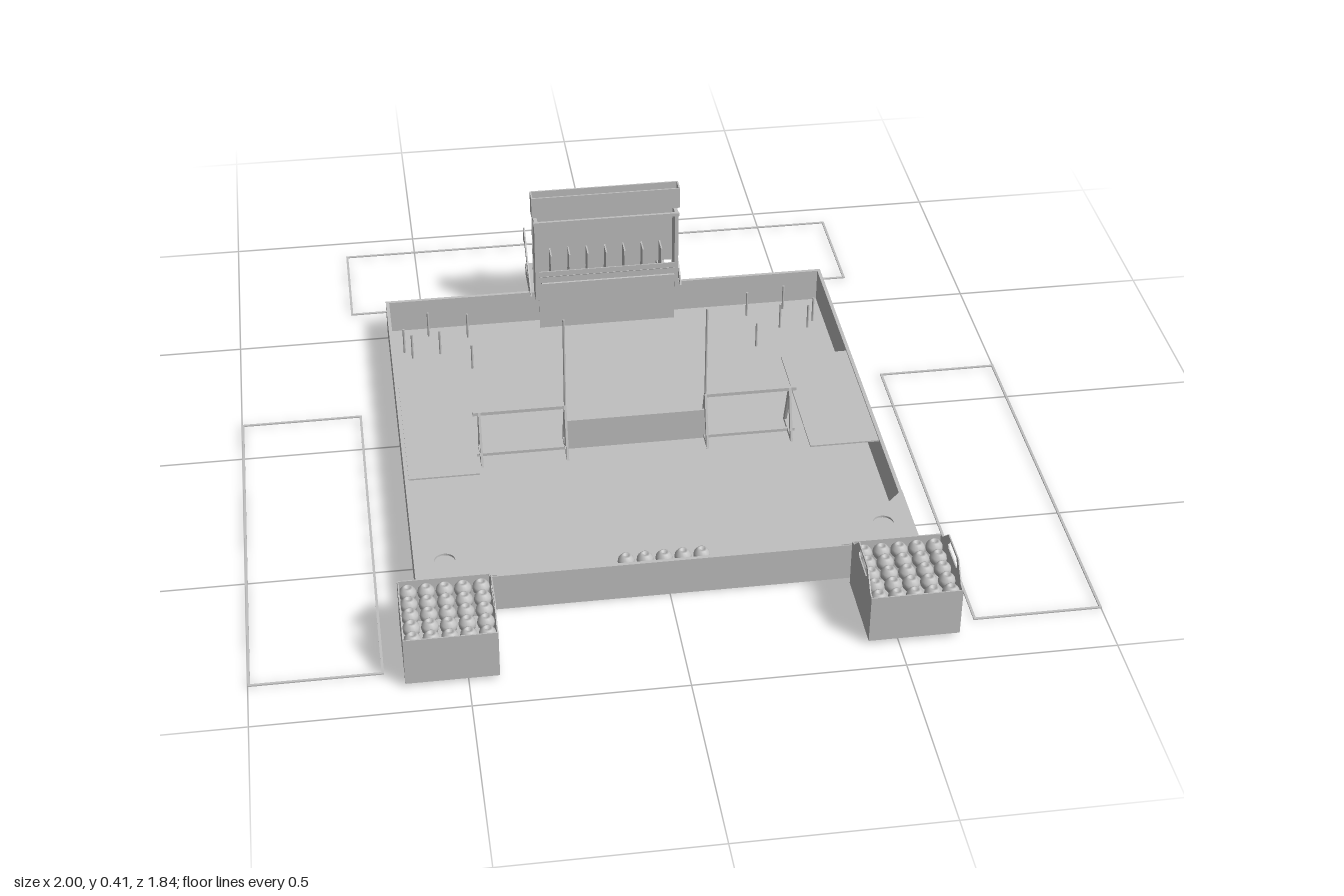
import * as THREE from 'three';

const grey = new THREE.MeshStandardMaterial({ color: 0xc0c0c0, side: THREE.DoubleSide });
grey.name = 'light grey';

function add(parent, name, geo, x = 0, y = 0, z = 0) {
  const m = new THREE.Mesh(geo, grey);
  m.name = name;
  m.position.set(x, y, z);
  parent.add(m);
  return m;
}
// Box given by its minimum and maximum corners
function box(parent, name, x0, x1, y0, y1, z0, z1) {
  return add(parent, name, new THREE.BoxGeometry(x1 - x0, y1 - y0, z1 - z0),
    (x0 + x1) / 2, (y0 + y1) / 2, (z0 + z1) / 2);
}
function group(parent, name) {
  const g = new THREE.Group();
  g.name = name;
  parent.add(g);
  return g;
}
const poly = pts => pts.map(p => new THREE.Vector2(p[0], p[1]));
// Upright plate drawn in (z, y), thickness t, centred on x
function sidePlate(parent, name, pts, x, t, hole) {
  const s = new THREE.Shape(poly(pts.map(p => [-p[0], p[1]])));
  if (hole) s.holes.push(new THREE.Path(poly(hole.map(p => [-p[0], p[1]]))));
  const g = new THREE.ExtrudeGeometry(s, { depth: t, bevelEnabled: false });
  g.translate(0, 0, -t / 2);
  g.rotateY(Math.PI / 2);
  return add(parent, name, g, x, 0, 0);
}
// Flat rectangular outline on the ground plane
function outline(parent, name, x0, x1, z0, z1, y0, y1, w) {
  const g = group(parent, name);
  for (const [a, b] of [[z0, z0 + w], [z1 - w, z1]]) box(g, 'crossStrip', x0, x1, y0, y1, a, b);
  for (const [a, b] of [[x0, x0 + w], [x1 - w, x1]]) box(g, 'sideStrip', a, b, y0, y1, z0 + w, z1 - w);
  return g;
}

// Ball with a dimpled crown
const ballGeo = new THREE.LatheGeometry(poly([
  [0, -0.02], [0.012, -0.017], [0.019, -0.008], [0.0205, 0], [0.019, 0.008],
  [0.012, 0.017], [0.007, 0.019], [0.006, 0.013], [0, 0.013]]), 16);

export function createModel() {
  const root = new THREE.Group();
  root.name = 'playingField';

  // Floor and perimeter walls
  box(root, 'floor', -0.6, 0.6, 0, 0.01, -0.52, 0.675);
  outline(root, 'perimeterWall', -0.6, 0.6, -0.525, 0.677, 0.005, 0.102, 0.009);

  // Ground tape zones
  outline(root, 'backZone', -0.695, 0.695, -0.92, -0.617, 0.004, 0.007, 0.006);
  for (const s of [-1, 1]) {
    const [a, b] = s > 0 ? [0.69, 1] : [-1, -0.69];
    outline(root, 'sideZone', a, b, -0.14, 0.872, 0.004, 0.007, 0.006);
  }

  for (const s of [-1, 1]) {
    // Side shelf level with the wall top
    box(root, 'sideShelf', s > 0 ? 0.415 : -0.59, s > 0 ? 0.59 : -0.415, 0.097, 0.101, -0.125, 0.275);

    // Corner plate with a round hole
    const tri = new THREE.Shape(poly([[s * 0.6, -0.675], [s * 0.6, -0.487], [s * 0.41, -0.675]]));
    const hole = new THREE.Path();
    hole.absarc(s * 0.527, -0.605, 0.025, 0, Math.PI * 2);
    tri.holes.push(hole);
    const corner = new THREE.ExtrudeGeometry(tri, { depth: 0.005, bevelEnabled: false, curveSegments: 16 });
    corner.rotateX(-Math.PI / 2);
    add(root, 'cornerPlate', corner, 0, 0.1, 0);

    // Pegs in the back corners
    for (const [x, z] of [[0.56, -0.41], [0.49, -0.48], [0.465, -0.39], [0.385, -0.46], [0.385, -0.31], [0.54, -0.38]])
      add(root, 'peg', new THREE.CylinderGeometry(0.003, 0.003, 0.075, 8), s * x, 0.047, z);

    // Hurdle: two A-frames with a top bar and a floor bar
    const hurdle = group(root, 'hurdle');
    for (const x of [0.18, 0.398])
      sidePlate(hurdle, 'aFrame', [[0.028, 0.01], [0.132, 0.01], [0.085, 0.147], [0.075, 0.147]], s * x, 0.006,
        [[0.045, 0.02], [0.115, 0.02], [0.08, 0.115]]);
    const [h0, h1] = s > 0 ? [0.18, 0.415] : [-0.415, -0.18];
    box(hurdle, 'topBar', h0, h1, 0.138, 0.147, 0.075, 0.085);
    box(hurdle, 'floorBar', h0, h1, 0.01, 0.018, 0.076, 0.084);
    add(root, 'tallPole', new THREE.CylinderGeometry(0.003, 0.003, 0.395, 8), s * 0.18, 0.2075, 0.08);

    // Crate with handles, filled with balls
    const crate = group(root, 'crate');
    const cx = s * 0.5365;
    box(crate, 'base', cx - 0.107, cx + 0.107, 0.01, 0.014, 0.705, 0.917);
    for (const z of [0.705, 0.914]) box(crate, 'endPanel', cx - 0.107, cx + 0.107, 0.01, 0.137, z, z + 0.003);
    for (const e of [-1, 1])
      sidePlate(crate, 'handlePanel', [[0.705, 0.01], [0.917, 0.01], [0.917, 0.137], [0.9, 0.14], [0.862, 0.184],
        [0.768, 0.184], [0.722, 0.14], [0.705, 0.137]], cx + e * 0.1065, 0.003,
      [[0.772, 0.158], [0.782, 0.15], [0.85, 0.15], [0.86, 0.158], [0.848, 0.177], [0.782, 0.177]]);
    for (let i = 0; i < 25; i++)
      add(crate, 'ball', ballGeo, cx + (i % 5 - 2) * 0.0425, 0.117, 0.811 + (Math.floor(i / 5) - 2) * 0.0415);
  }

  // Central barrier between the hurdles
  box(root, 'centreBarrier', -0.18, 0.18, 0.01, 0.098, 0.077, 0.083);

  // Balls lined up on the floor
  for (let i = 0; i < 10; i++)
    add(root, 'floorBall', ballGeo, (i % 5 - 2) * 0.046, 0.03, 0.575 + Math.floor(i / 5) * 0.046);

  // Goal tower on the back wall
  const tower = group(root, 'goalTower');
  box(tower, 'backPanel', -0.197, 0.197, 0.17, 0.415, -0.529, -0.525);
  box(tower, 'lowerFrontPanel', -0.185, 0.185, 0.01, 0.17, -0.482, -0.478);
  box(tower, 'sill', -0.185, 0.185, 0.17, 0.19, -0.48, -0.477);
  box(tower, 'upperRail', -0.197, 0.197, 0.335, 0.345, -0.485, -0.478);
  box(tower, 'topFront', -0.2, 0.2, 0.355, 0.415, -0.493, -0.489);
  for (const s of [-1, 1]) {
    box(tower, 'sidePanel', s * 0.19 - 0.005, s * 0.19 + 0.005, 0.1, 0.345, -0.529, -0.477);
    box(tower, 'topEnd', s * 0.198 - 0.002, s * 0.198 + 0.002, 0.355, 0.415, -0.527, -0.489);
    // Lever arm with a flared end
    sidePlate(tower, 'leverArm', [[-0.495, 0.103], [-0.525, 0.103], [-0.64, 0.182], [-0.672, 0.173],
      [-0.678, 0.188], [-0.66, 0.222], [-0.622, 0.2], [-0.615, 0.188], [-0.505, 0.122]], s * 0.206, 0.004);
  }
  // Sloping lip in front of the sill
  const lip = add(tower, 'lip', new THREE.BoxGeometry(0.36, 0.003, 0.034), 0, 0.163, -0.463);
  lip.rotation.x = -0.55;
  // Sloping chute floor and its dividers
  const chute = add(tower, 'chuteFloor', new THREE.BoxGeometry(0.37, 0.003, 0.15), 0, 0.105, -0.505);
  chute.rotation.x = -1.2;
  for (let i = -3; i <= 3; i++)
    sidePlate(tower, 'divider', [[-0.482, 0.17], [-0.529, 0.04], [-0.533, 0.17], [-0.525, 0.235], [-0.482, 0.235]], i * 0.05, 0.004);

  // Return tray behind the tower
  outline(tower, 'returnTray', -0.197, 0.193, -0.757, -0.527, 0.01, 0.043, 0.021);

  return root;
}
